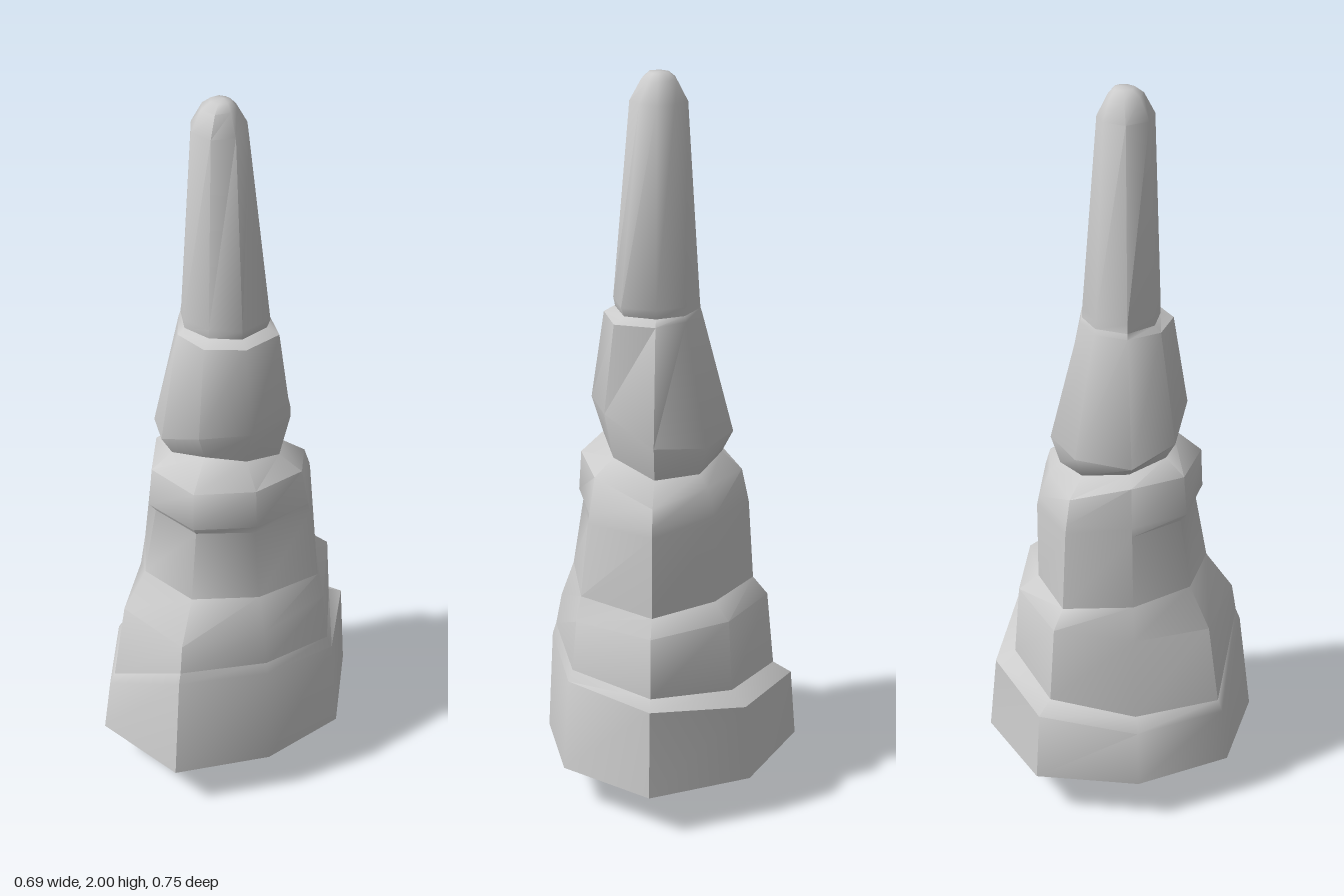
import * as THREE from 'three';
import { toCreasedNormals } from 'three/addons/utils/BufferGeometryUtils.js';

const SIDES = 8;
const material = new THREE.MeshStandardMaterial({ color: 0xcccccc, side: THREE.DoubleSide });

// A ring lists its radius (and height) at 8 bearings, running from the front
// through the left (+x), back and right. A single number applies to all bearings.
const at = (v, i) => (Array.isArray(v) ? v[i] : v);
const ring = (r, y) => Array.from({ length: SIDES }, (_, i) => {
  const a = (i / SIDES) * Math.PI * 2;
  return [Math.sin(a) * at(r, i), at(y, i), Math.cos(a) * at(r, i)];
});

// Skin a stack of rings, listed from bottom to top
function loft(name, rings) {
  const index = [];
  for (let k = 0; k < rings.length - 1; k++) {
    for (let i = 0; i < SIDES; i++) {
      const j = (i + 1) % SIDES;
      const a = k * SIDES + i, b = k * SIDES + j;
      const c = a + SIDES, d = b + SIDES;
      index.push(a, b, d, a, d, c);
    }
  }
  const geometry = new THREE.BufferGeometry();
  geometry.setAttribute('position', new THREE.Float32BufferAttribute(rings.flat(2), 3));
  geometry.setIndex(index);
  const mesh = new THREE.Mesh(toCreasedNormals(geometry, 0.9), material);
  mesh.name = name;
  return mesh;
}

export function createModel() {
  const group = new THREE.Group();
  group.name = 'rockSpire';

  // Rings shared by neighbouring parts
  const rim = ring([0.375, 0.312, 0.345, 0.39, 0.375, 0.385, 0.347, 0.37], 0.12);
  const slabTop = ring(
    [0.328, 0.287, 0.31, 0.335, 0.30, 0.32, 0.285, 0.335],
    [0.44, 0.44, 0.41, 0.39, 0.36, 0.34, 0.30, 0.30]);
  const blockTop = ring(
    [0.24, 0.235, 0.277, 0.28, 0.23, 0.26, 0.235, 0.235],
    [0.63, 0.63, 0.62, 0.60, 0.60, 0.60, 0.62, 0.63]);
  const neck = ring(
    [0.14, 0.15, 0.16, 0.17, 0.165, 0.17, 0.15, 0.15],
    [1.03, 1.02, 0.99, 0.95, 0.95, 0.97, 0.98, 1.0]);
  const spireBase = ring([0.105, 0.115, 0.12, 0.105, 0.103, 0.11, 0.12, 0.11], 1.375);

  group.add(
    // Pointed underside
    loft('underside', [ring(0, 0), rim]),

    // Wide foot with an uneven ledge
    loft('footSlab', [
      rim,
      ring([0.34, 0.297, 0.325, 0.375, 0.355, 0.37, 0.325, 0.35],
        [0.41, 0.41, 0.38, 0.37, 0.33, 0.31, 0.27, 0.27]),
      slabTop,
    ]),

    // Second tier, sloping in at its shoulder
    loft('middleBlock', [
      slabTop,
      ring([0.315, 0.27, 0.295, 0.325, 0.285, 0.30, 0.25, 0.30],
        [0.52, 0.53, 0.55, 0.56, 0.56, 0.55, 0.52, 0.52]),
      blockTop,
    ]),

    // Third tier with a notch under its front lip
    loft('collar', [
      blockTop,
      ring([0.205, 0.205, 0.25, 0.265, 0.23, 0.245, 0.213, 0.20], 0.825),
      ring([0.225, 0.217, 0.245, 0.262, 0.225, 0.24, 0.21, 0.22], 0.85),
      ring([0.22, 0.21, 0.225, 0.245, 0.195, 0.225, 0.195, 0.21],
        [0.96, 0.96, 0.95, 0.90, 0.92, 0.92, 0.96, 0.96]),
      neck,
    ]),

    // Overhanging tapered tier
    loft('taperedBlock', [
      neck,
      ring([0.18, 0.18, 0.19, 0.20, 0.19, 0.20, 0.20, 0.18],
        [1.11, 1.12, 1.12, 1.05, 1.03, 1.03, 1.02, 1.05]),
      ring([0.14, 0.145, 0.155, 0.13, 0.108, 0.115, 0.125, 0.13], 1.36),
      spireBase,
    ]),

    // Slender blunt tip
    loft('spire', [
      spireBase,
      ring([0.105, 0.12, 0.13, 0.112, 0.102, 0.108, 0.117, 0.112], 1.40),
      ring([0.087, 0.075, 0.066, 0.065, 0.062, 0.075, 0.086, 0.088], 1.925),
      ring([0.058, 0.045, 0.036, 0.034, 0.034, 0.046, 0.056, 0.06], 1.98),
      ring([0.035, 0.026, 0.02, 0.018, 0.018, 0.026, 0.033, 0.036], 1.997),
      ring(0, 2),
    ]),
  );
  return group;
}
